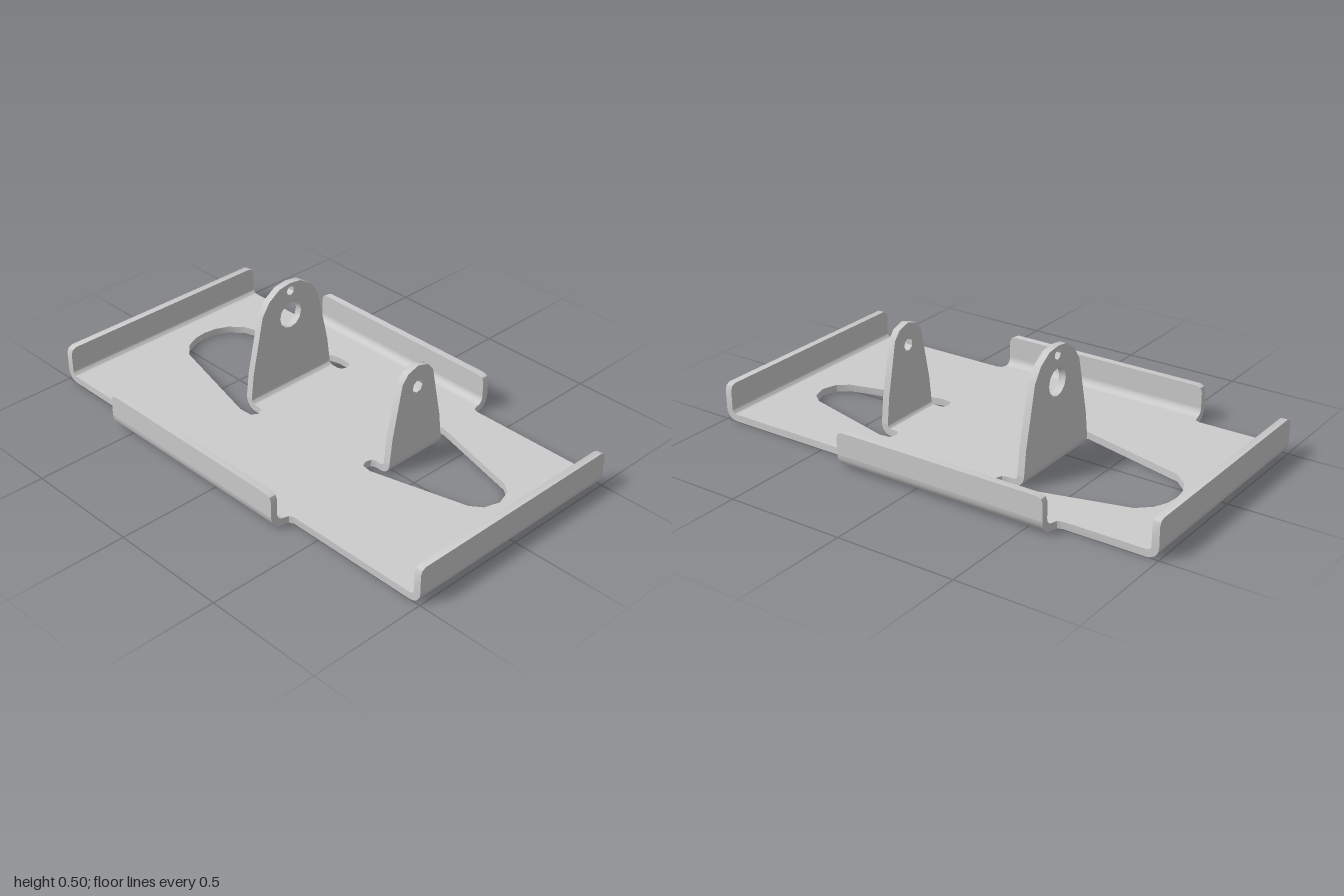
import * as THREE from 'three';
import { toCreasedNormals } from 'three/addons/utils/BufferGeometryUtils.js';

const T = 0.03; // sheet thickness
const CX = 0.11; // centre line of the tabs and cutouts
const material = new THREE.MeshStandardMaterial({ color: 0xcccccc });

const points = (list) => list.map(([x, y]) => new THREE.Vector2(x, y));

// Full outline from its right half, listed from bottom to top
const mirrored = (half, cx = 0) => points([
  ...half.map(([x, y]) => [cx + x, y]),
  ...half.filter(([x]) => x > 0).reverse().map(([x, y]) => [cx - x, y]),
]);

function extrude(shape, depth) {
  const geo = new THREE.ExtrudeGeometry(shape, { depth, bevelEnabled: false, curveSegments: 3 });
  return toCreasedNormals(geo, 0.6);
}

function part(name, geo) {
  const mesh = new THREE.Mesh(geo, material);
  mesh.name = name;
  return mesh;
}

// A wall folded up from the plate: outer face at local z = 0, bend radius r.
// half is the right half of the wall outline; holes are [y, radius, sides].
function fold(name, r, half, holes = []) {
  const group = new THREE.Group();
  group.name = name;
  const w = half[0][0];

  const wall = new THREE.Shape(mirrored(half));
  for (const [y, radius, sides] of holes) {
    const ring = [];
    for (let i = 0; i < sides; i++) {
      const a = (i / sides) * Math.PI * 2;
      ring.push([radius * Math.cos(a), y + radius * Math.sin(a)]);
    }
    wall.holes.push(new THREE.Path(points(ring)));
  }
  group.add(part(name + 'Wall', extrude(wall, T).translate(0, 0, -T)));

  const bend = new THREE.Shape();
  bend.absarc(-r, r, r, -Math.PI / 2, 0, false);
  bend.absarc(-r, r, r - T, 0, -Math.PI / 2, true);
  bend.closePath();
  group.add(part(name + 'Bend', extrude(bend, w * 2).rotateY(-Math.PI / 2).translate(w, 0, 0)));
  return group;
}

// Straight flange with clipped upper corners
const flange = (name, r, w) => fold(name, r, [
  [w, r], [w, 0.13], [w - 0.007, 0.147], [w - 0.025, 0.155],
]);

function place(object, x, z, turn) {
  object.position.set(x, 0, z);
  object.rotation.y = turn;
  return object;
}

export function createModel() {
  const model = new THREE.Group();
  model.name = 'sheetMetalBracket';

  // Base plate with side extensions and relief corners
  const plate = new THREE.Shape(mirrored([
    [0.5, -0.95], [0.5, -0.61], [0.508, -0.592], [0.53, -0.585],
    [0.53, 0.345], [0.508, 0.352], [0.5, 0.37], [0.5, 0.95],
  ]));
  // Openings the tabs were cut from, with rounded relief slots
  const rearCutout = [
    [0, -0.852], [0.055, -0.845], [0.11, -0.82], [0.16, -0.765], [0.28, -0.3],
    [0.277, -0.24], [0.25, -0.225], [0.225, -0.235], [0.218, -0.255], [0.218, -0.28],
  ];
  const frontCutout = [
    [0.143, 0.355], [0.143, 0.325], [0.152, 0.31], [0.175, 0.305], [0.2, 0.315],
    [0.206, 0.36], [0.1, 0.765], [0.065, 0.81], [0, 0.83],
  ];
  plate.holes.push(new THREE.Path(mirrored(rearCutout, CX)));
  plate.holes.push(new THREE.Path(mirrored(frontCutout, CX)));
  model.add(part('basePlate', extrude(plate, T).rotateX(Math.PI / 2).translate(0, T, 0)));

  // Four edge flanges
  model.add(place(flange('frontFlange', 0.05, 0.5), 0, 1, 0));
  model.add(place(flange('rearFlange', 0.05, 0.5), 0, -1, Math.PI));
  for (const [name, side] of [['leftFlange', 1], ['rightFlange', -1]]) {
    model.add(place(flange(name, 0.06, 0.465), side * 0.59, -0.12, side * Math.PI / 2));
  }

  // Upright tabs
  const frontTab = fold('frontTab', 0.045, [
    [0.143, 0.045], [0.13, 0.155], [0.083, 0.38], [0.053, 0.416], [0, 0.432],
  ], [[0.34, 0.027, 7]]);
  model.add(place(frontTab, CX, 0.4, 0));

  const rearTab = fold('rearTab', 0.05, [
    [0.218, 0.05], [0.205, 0.155], [0.15, 0.4], [0.113, 0.455], [0.057, 0.492], [0, 0.5],
  ], [[0.355, 0.057, 12], [0.465, 0.02, 7]]);
  model.add(place(rearTab, CX, -0.33, Math.PI));

  return model;
}
